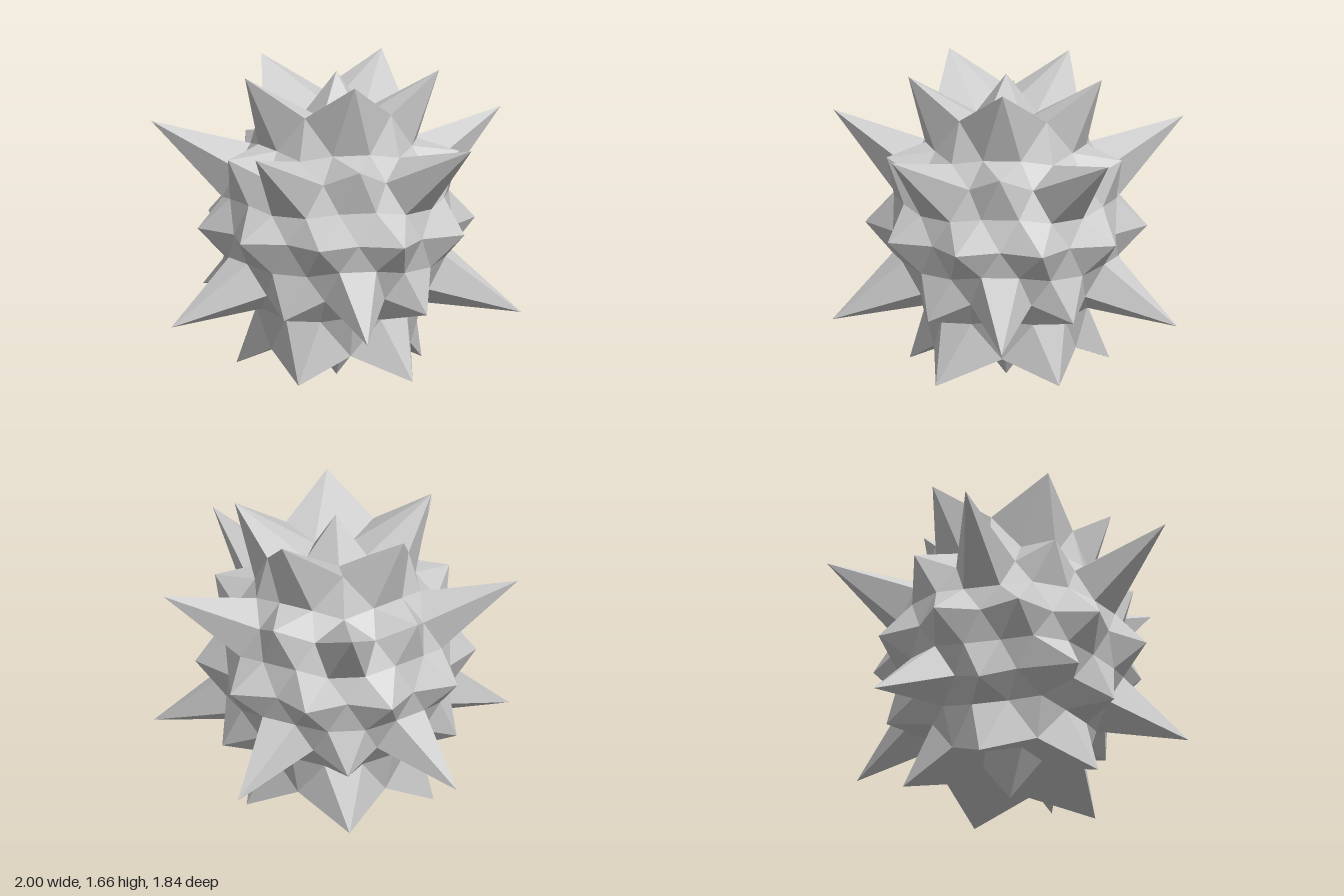
import * as THREE from 'three';

const CENTRE = 0.82;   // height of the ball's middle
const VALLEY = 0.62;   // radius of the points between the spikes
const RAD = Math.PI / 180;

// direction from polar angle (from +y) and azimuth (from +x towards +z)
const dir = (polar, az) => new THREE.Vector3(
  Math.sin(polar * RAD) * Math.cos(az * RAD),
  Math.cos(polar * RAD),
  Math.sin(polar * RAD) * Math.sin(az * RAD));

// spike tips: each knows the ball direction it grows from and where it ends
function makeTips() {
  const tips = [];
  const ring = (polar, start, rx, rz, y, count = 5) => {
    for (let k = 0; k < count; k++) {
      const az = start + k * 360 / count;
      tips.push({
        from: dir(polar, az),
        to: new THREE.Vector3(rx * Math.cos(az * RAD), y, rz * Math.sin(az * RAD)),
      });
    }
  };
  // short spikes on the poles
  ring(0, 0, 0, 0, 0.82, 1);
  ring(180, 0, 0, 0, -0.82, 1);
  // crowns of slanted spikes around each pole
  ring(26.57, 36, 0.553, 0.533, 0.838);
  ring(153.43, 0, 0.515, 0.575, -0.777);
  // longest spikes
  ring(63.43, 0, 0.995, 0.967, 0.527);
  ring(116.57, 36, 1.0, 0.942, -0.464);
  // low bumps
  for (const s of [1, -1]) {
    const turn = s > 0 ? 0 : 36;
    ring(90 - s * 58.28, turn, 0.395, 0.395, s * 0.64);
    ring(90 - s * 31.72, 36 + turn, 0.655, 0.655, s * 0.405);
  }
  ring(90, 18, 0.747, 0.747, 0, 10);
  return tips;
}

// the 20 faces of an icosahedron standing on a corner
function baseFaces() {
  const top = dir(0, 0), bottom = dir(180, 0), faces = [];
  const up = (k) => dir(63.435, 72 * k);
  const low = (k) => dir(116.565, 36 + 72 * k);
  for (let k = 0; k < 5; k++) {
    faces.push([top, up(k + 1), up(k)]);
    faces.push([up(k), up(k + 1), low(k)]);
    faces.push([low(k), up(k + 1), low(k + 1)]);
    faces.push([bottom, low(k), low(k + 1)]);
  }
  return faces;
}

// split every triangle into four on the unit sphere
function subdivide(faces) {
  const mid = (a, b) => a.clone().add(b).normalize();
  return faces.flatMap(([a, b, c]) => {
    const ab = mid(a, b), bc = mid(b, c), ca = mid(c, a);
    return [[a, ab, ca], [ab, b, bc], [ca, bc, c], [ab, bc, ca]];
  });
}

export function createModel() {
  const group = new THREE.Group();
  group.name = 'spikyStar';

  const tips = makeTips();
  const place = (d) => {
    const tip = tips.find((t) => t.from.dot(d) > 0.995);
    const p = tip ? tip.to.clone() : d.clone().multiplyScalar(VALLEY);
    p.y += CENTRE;
    return p;
  };

  // faceted ball with its chosen corners pulled out into spikes
  const points = subdivide(subdivide(baseFaces())).flat().map(place);
  const geometry = new THREE.BufferGeometry().setFromPoints(points);
  geometry.computeVertexNormals();

  const material = new THREE.MeshStandardMaterial({ color: 0xcccccc, flatShading: true });
  const ball = new THREE.Mesh(geometry, material);
  ball.name = 'spikedBall';
  group.add(ball);
  return group;
}
